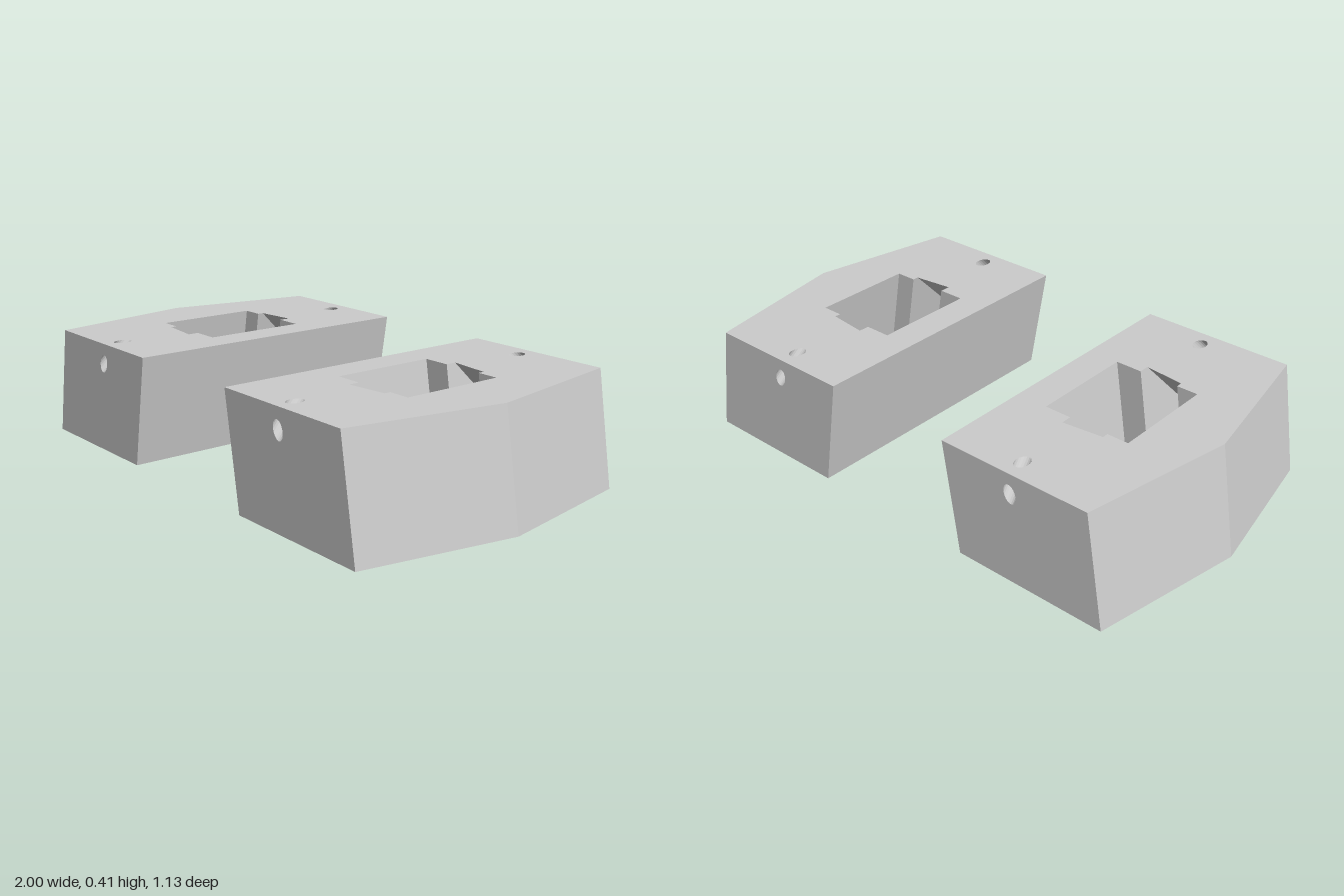
import * as THREE from 'three';

const H = 0.41, D = 0.565;              // block height, half depth
const X0 = 0.32, X1 = 0.895, XP = 1.0;  // inner side, outer side, outer point (at the base)
const W0 = 0.44, W1 = 0.77, WZ = 0.195; // window
const P0 = 0.54, P1 = 0.69;             // screw pocket sides
const CAP = 0.225, RIDGE = 0.43;        // pocket bottom edge and deepest line
const LIP = [0.235, 0.218];             // pocket top edge, slightly askew
const BX = 0.588, BR = 0.024;           // bore centre and radius
const LEAN = 0.07 / H;                  // blocks lean towards the middle

const material = new THREE.MeshStandardMaterial({ color: 0xcccccc, flatShading: true });

// Collects triangles for one block, leaned and placed on its own side
function collector(side) {
  const pos = [];
  const place = ([x, y, z]) => new THREE.Vector3(side * (x - LEAN * y), y, z);
  // one triangle, turned so that it faces the hinted direction
  const tri = (a, b, c, hint) => {
    const [p, q, r] = [a, b, c].map(place);
    const n = q.clone().sub(p).cross(r.clone().sub(p));
    const facing = n.dot(new THREE.Vector3(side * hint[0], hint[1], hint[2])) >= 0;
    for (const v of facing ? [p, q, r] : [p, r, q]) pos.push(v.x, v.y, v.z);
  };
  // flat face drawn in (u, v) with holes, mapped into space
  const face = (outline, holes, map, hint) => {
    const v2 = (l) => l.map((p) => new THREE.Vector2(...p));
    const shape = new THREE.Shape(v2(outline));
    shape.holes = holes.map((h) => new THREE.Path(v2(h)));
    const g = new THREE.ShapeGeometry(shape);
    const at = (i) => map(g.attributes.position.getX(i), g.attributes.position.getY(i));
    const idx = g.index.array;
    for (let i = 0; i < idx.length; i += 3) tri(at(idx[i]), at(idx[i + 1]), at(idx[i + 2]), hint);
  };
  const quad = (a, b, c, d, hint) => { tri(a, b, c, hint); tri(a, c, d, hint); };
  const mesh = (name) => {
    const g = new THREE.BufferGeometry();
    g.setAttribute('position', new THREE.Float32BufferAttribute(pos, 3));
    g.computeVertexNormals();
    const m = new THREE.Mesh(g, material);
    m.name = name;
    return m;
  };
  return { tri, face, quad, mesh };
}

// Diagonal bore: the ring where it meets a plane; cut turns y + z into [y, z]
function ring(sum, cut, f) {
  return Array.from({ length: 20 }, (_, i) => {
    const a = (i / 20) * Math.PI * 2;
    const [y, z] = cut(sum + Math.SQRT2 * BR * Math.sin(a));
    return [BX + BR * Math.cos(a), y, f * z];
  });
}
const cutTop = (s) => [H, s - H];
const cutEnd = (s) => [s - D, D];
const cutBase = (s) => [0, s];
const cutCap = (s) => [(s - CAP) / 2, (s + CAP) / 2];
const UPPER = 0.9, LOWER = 0.49;

function block(side) {
  const body = collector(side), bores = collector(side);
  const xz = (r) => r.map((p) => [p[0], p[2]]);
  const xy = (r) => r.map((p) => [p[0], p[1]]);
  const outline = [[X0, -D], [X1, -D], [XP, 0], [X1, D], [X0, D]];
  const windowHole = (a, b) => [
    [W0, -WZ], [P0, -WZ], [P0, -a], [P1, -b], [P1, -WZ], [W1, -WZ],
    [W1, WZ], [P1, WZ], [P1, b], [P0, a], [P0, WZ], [W0, WZ]];

  // top and base
  body.face(outline, [windowHole(...LIP), ...[1, -1].map((f) => xz(ring(UPPER, cutTop, f)))],
    (x, z) => [x, H, z], [0, 1, 0]);
  body.face(outline, [windowHole(CAP, CAP), ...[1, -1].map((f) => xz(ring(LOWER, cutBase, f)))],
    (x, z) => [x, 0, z], [0, -1, 0]);

  // inner side and inner walls of the window
  const wall = (x, z0, xb, z1, hint) =>
    body.quad([x, 0, z0], [xb, 0, z1], [xb, H, z1], [x, H, z0], hint);
  wall(X0, -D, X0, D, [-1, 0, 0]);
  wall(W0, -WZ, W0, WZ, [1, 0, 0]);
  wall(W1, -WZ, W1, WZ, [-1, 0, 0]);

  for (const f of [1, -1]) {
    // end face and slanted outer side
    body.face([[X0, 0], [X1, 0], [X1, H], [X0, H]], [xy(ring(UPPER, cutEnd, f))],
      (x, y) => [x, y, f * D], [0, 0, f]);
    wall(X1, f * D, XP, 0, [1, 0, 0]);
    // window walls beside the pocket
    wall(W0, f * WZ, P0, f * WZ, [0, 0, -f]);
    wall(P1, f * WZ, W1, f * WZ, [0, 0, -f]);
    // pocket: sides, sloping ceiling, seat for the screw
    [P0, P1].forEach((x, i) => body.face(
      [[WZ, 0], [CAP, 0], [RIDGE, RIDGE - CAP], [LIP[i], H], [WZ, H]], [],
      (z, y) => [x, y, f * z], [i ? -1 : 1, 0, 0]));
    const ry = RIDGE - CAP;
    body.quad([P0, H, f * LIP[0]], [P1, H, f * LIP[1]], [P1, ry, f * RIDGE], [P0, ry, f * RIDGE],
      [0, -1, -f]);
    body.face([[P0, CAP], [P1, CAP], [P1, RIDGE], [P0, RIDGE]],
      [ring(LOWER, cutCap, f).map((p) => [p[0], Math.abs(p[2])])],
      (x, z) => [x, z - CAP, f * z], [0, 1, -f]);
    // diagonal screw bores
    for (const [sum, c0, c1] of [[UPPER, cutTop, cutEnd], [LOWER, cutBase, cutCap]]) {
      const a = ring(sum, c0, f), b = ring(sum, c1, f);
      a.forEach((p, i) => {
        const j = (i + 1) % a.length, t = ((i + 0.5) / a.length) * Math.PI * 2;
        bores.quad(p, a[j], b[j], b[i], [-Math.cos(t), -Math.sin(t), -f * Math.sin(t)]);
      });
    }
  }
  const g = new THREE.Group();
  g.name = side > 0 ? 'leftBlock' : 'rightBlock';
  g.add(body.mesh('blockBody'), bores.mesh('screwBores'));
  return g;
}

export function createModel() {
  const model = new THREE.Group();
  model.name = 'blockPair';
  model.add(block(1), block(-1));
  return model;
}
